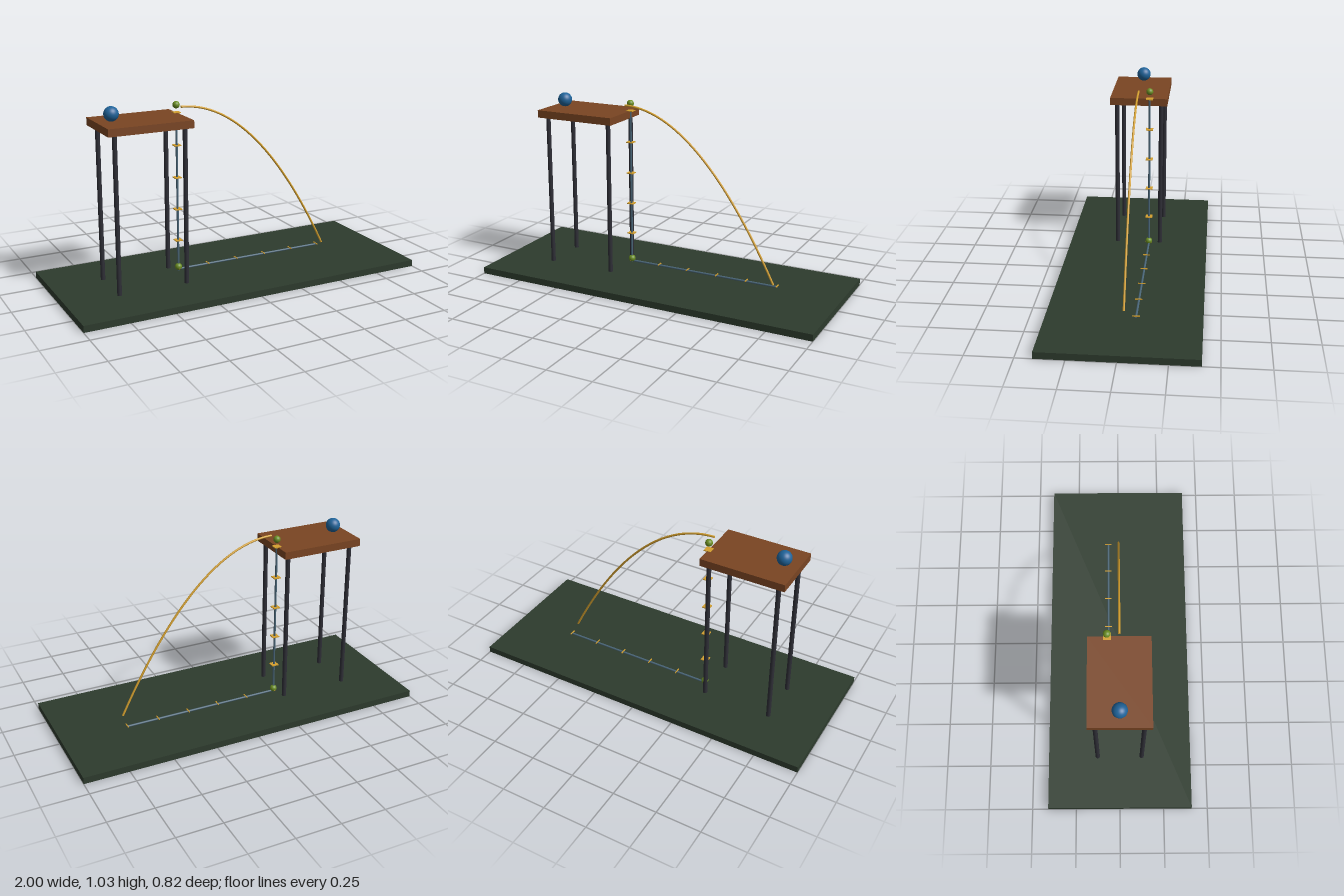
import * as THREE from 'three';

export function createModel() {
  const group = new THREE.Group();
  const mat = (name, color) => {
    const m = new THREE.MeshStandardMaterial({ color });
    m.name = name;
    return m;
  };
  const green = mat('dark green', 0x2d3b2d);
  const wood = mat('brown wood', 0x7a4522);
  const steel = mat('dark steel', 0x2e2e36);
  const blue = mat('blue', 0x1f6399);
  const olive = mat('olive green', 0x6b8e23);
  const slate = mat('slate blue', 0x4a6678);
  const gold = mat('gold', 0xd4a02f);

  const add = (name, geometry, material, x, y, z) => {
    const mesh = new THREE.Mesh(geometry, material);
    mesh.name = name;
    mesh.position.set(x, y, z);
    group.add(mesh);
    return mesh;
  };

  // Ground slab
  add('base', new THREE.BoxGeometry(2, 0.037, 0.818), green, 0, 0.0185, 0);

  // Launch table
  add('tableTop', new THREE.BoxGeometry(0.473, 0.042, 0.327), wood, -0.512, 0.924, 0);
  const legGeometry = new THREE.CylinderGeometry(0.0125, 0.0125, 0.868, 16);
  for (const x of [-0.703, -0.312])
    for (const z of [-0.127, 0.127]) add('tableLeg', legGeometry, steel, x, 0.471, z);

  // Ball resting on the table
  add('ball', new THREE.SphereGeometry(0.04, 32, 20), blue, -0.67, 0.986, 0);

  // Measuring rods for height and range, with evenly spaced marks
  const x0 = -0.276, x1 = 0.634, zRod = -0.063;
  const yLow = 0.037, yHigh = 0.945, rodY = 0.046;
  const rod = (length) => new THREE.CylinderGeometry(0.006, 0.006, length, 12);
  add('heightRod', rod(yHigh - yLow), slate, x0, (yLow + yHigh) / 2, zRod);
  add('rangeRod', rod(x1 - x0), slate, (x0 + x1) / 2, rodY, zRod).rotation.z = Math.PI / 2;

  const heightMark = new THREE.BoxGeometry(0.04, 0.005, 0.04);
  const rangeMark = new THREE.BoxGeometry(0.005, 0.005, 0.04);
  for (let i = 0; i <= 5; i++) {
    const t = i / 5;
    if (i > 0) add('heightMark', heightMark, gold, x0, yLow + (yHigh - yLow) * t, zRod);
    add('rangeMark', rangeMark, gold, x0 + (x1 - x0) * t, 0.052, zRod);
  }

  // Marker balls at both ends of the height rod
  const marker = new THREE.SphereGeometry(0.02, 24, 16);
  add('topMarker', marker, olive, x0, 0.987, zRod);
  add('bottomMarker', marker, olive, x0, 0.06, zRod);

  // Parabolic flight path
  const points = [];
  for (let i = 0; i <= 24; i++) {
    const t = i / 24;
    points.push(new THREE.Vector3(x0 + (x1 - x0) * t, 0.987 - 0.907 * t * t, 0));
  }
  const path = new THREE.CatmullRomCurve3(points);
  const tube = add('flightPath', new THREE.TubeGeometry(path, 80, 0.006, 10), gold, 0, 0, 0);

  // Flat end caps of the flight path
  const cap = new THREE.CircleGeometry(0.006, 10);
  for (const [t, sign] of [[0, -1], [1, 1]]) {
    const p = path.getPoint(t);
    const end = add('pathEnd', cap, gold, p.x, p.y, p.z);
    end.lookAt(p.clone().addScaledVector(path.getTangent(t), sign));
  }
  tube.updateMatrix();

  return group;
}
